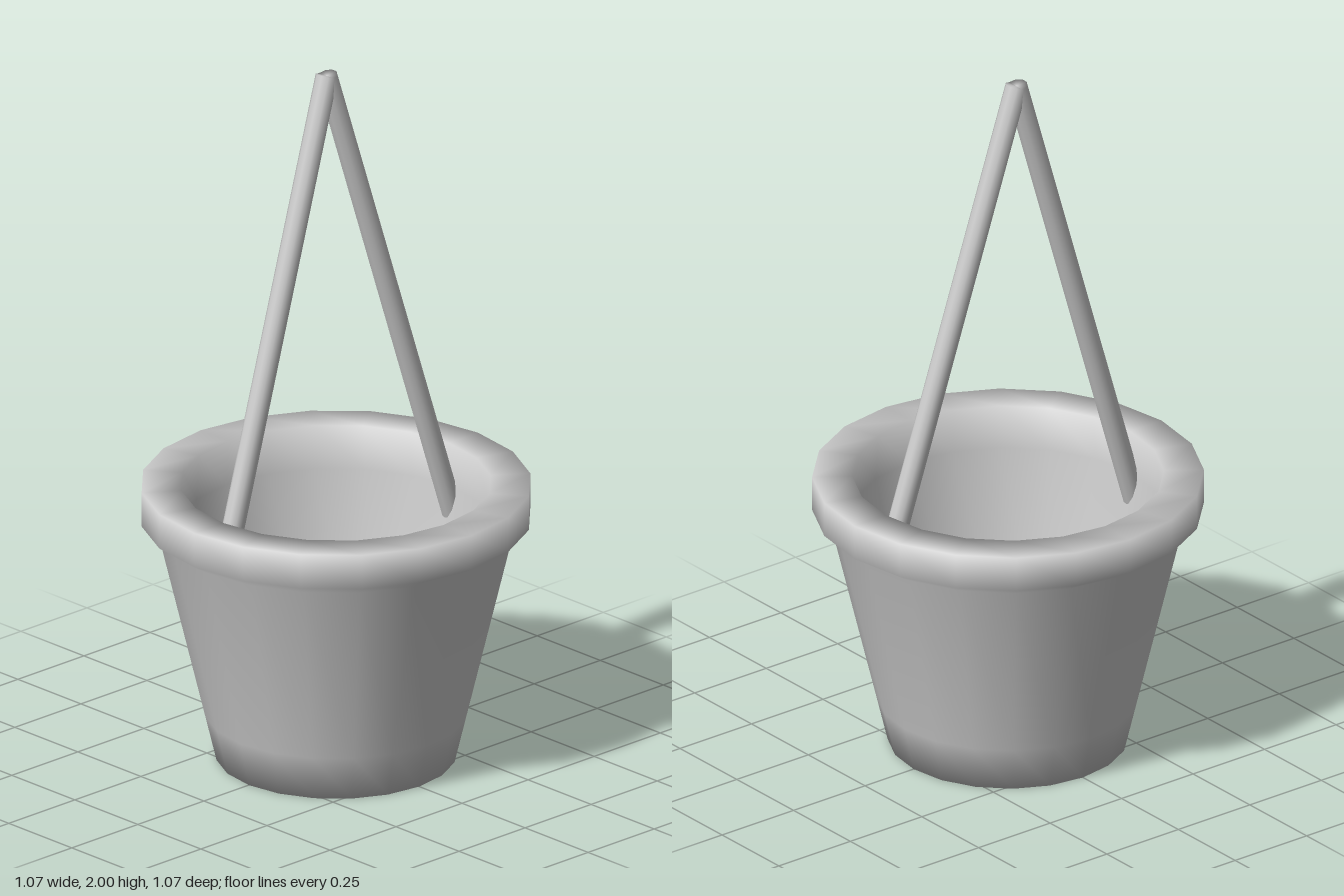
import * as THREE from 'three';
import { mergeVertices } from 'three/addons/utils/BufferGeometryUtils.js';

const SIDES = 20;

// Cylinder running between two points, shaded smoothly over its ends
function rod(from, to, radius, material) {
  const dir = to.clone().sub(from);
  const cylinder = new THREE.CylinderGeometry(radius, radius, dir.length(), 10);
  cylinder.deleteAttribute('normal');
  cylinder.deleteAttribute('uv');
  const geometry = mergeVertices(cylinder);
  geometry.computeVertexNormals();
  const mesh = new THREE.Mesh(geometry, material);
  mesh.position.copy(from).add(to).multiplyScalar(0.5);
  mesh.quaternion.setFromUnitVectors(new THREE.Vector3(0, 1, 0), dir.normalize());
  return mesh;
}

export function createModel() {
  const model = new THREE.Group();
  model.name = 'hangingPot';

  const clay = new THREE.MeshStandardMaterial({ color: 0xcccccc });
  clay.name = 'pale grey';

  // Pot: underside, outer wall, thick rim, inner wall and floor in one profile
  const profile = [
    [0, 0], [0.33, 0], [0.361, 0.13], [0.49, 0.67], [0.537, 0.7], [0.537, 0.8],
    [0.427, 0.8], [0.433, 0.67], [0.313, 0.15], [0.288, 0.05], [0, 0.05],
  ].map(([r, y]) => new THREE.Vector2(r, y));
  const pot = new THREE.Mesh(new THREE.LatheGeometry(profile, SIDES), clay);
  pot.name = 'pot';
  model.add(pot);

  // Hanger: two rods set into the pot wall, meeting above and leaning slightly back
  const hanger = new THREE.Group();
  hanger.name = 'hanger';
  for (const side of [-1, 1]) {
    const foot = new THREE.Vector3(side * 0.442, 0.59, 0);
    const peak = new THREE.Vector3(0, 1.99, -0.037);
    const arm = rod(foot, peak, 0.031, clay);
    arm.name = side > 0 ? 'leftRod' : 'rightRod';
    hanger.add(arm);
  }
  model.add(hanger);

  return model;
}
